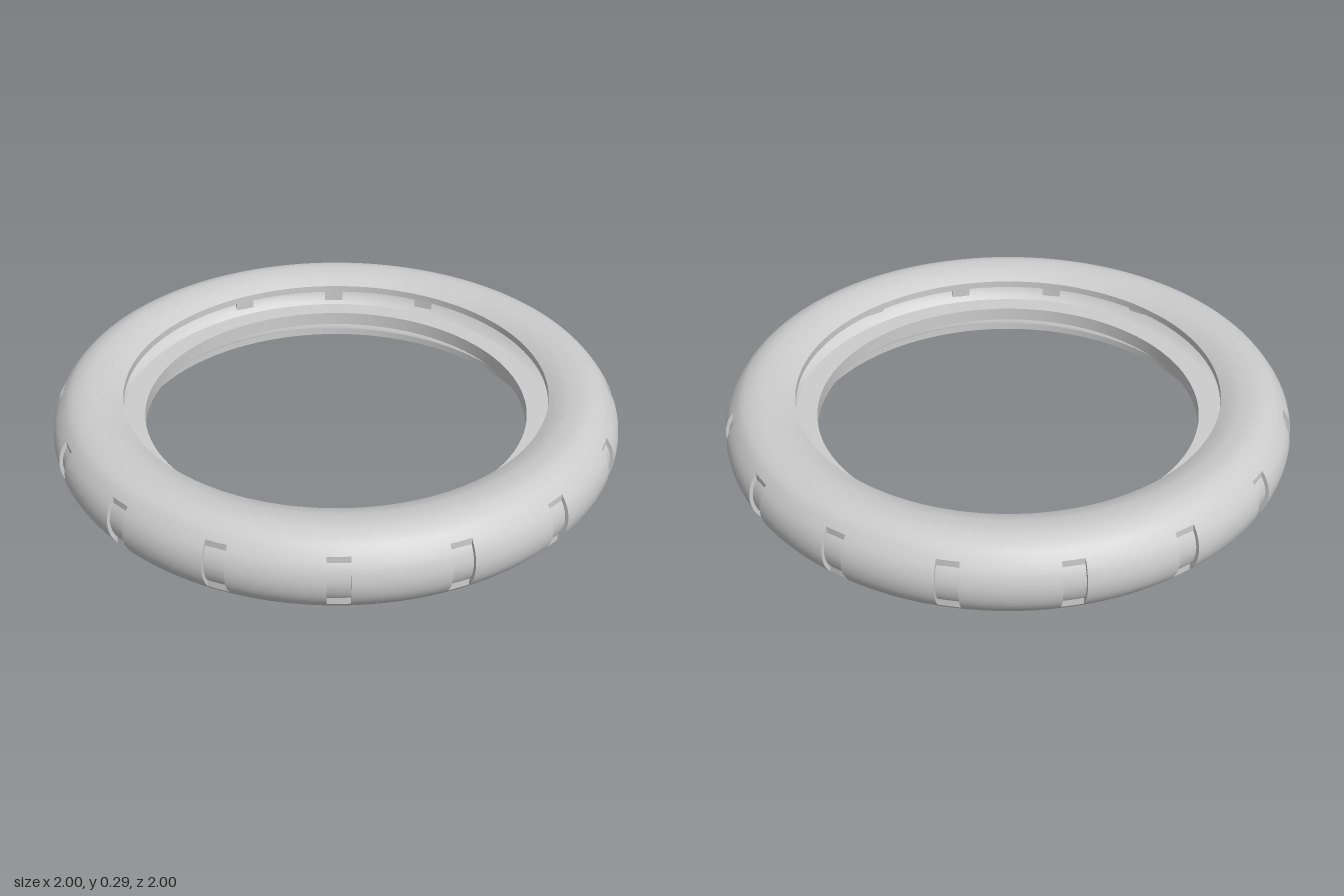
import * as THREE from 'three';

const COUNT = 16;          // notches around the tread
const FLOOR = 0.967;       // radius of the notch floor
const HALF = 0.038;        // half angle of one notch
const MID = 0.1425;        // height of the middle plane

const V = (r, d) => new THREE.Vector2(r, d);

// Mirrors an upper half profile (starting on the middle plane) to a full one, bottom to top.
function fullProfile(half, samples) {
  const up = half.map(([r, d]) => V(r, d));
  const down = up.slice(1).reverse().map((p) => V(p.x, -p.y));
  return new THREE.SplineCurve([...down, ...up]).getPoints(samples);
}

export function createModel() {
  const model = new THREE.Group();
  const grey = new THREE.MeshStandardMaterial({ color: 0xcccccc, side: THREE.DoubleSide });
  grey.name = 'light grey';

  const add = (parent, name, geometry) => {
    const mesh = new THREE.Mesh(geometry, grey);
    mesh.name = name;
    parent.add(mesh);
    return mesh;
  };
  const part = (name) => {
    const group = new THREE.Group();
    group.name = name;
    group.position.y = MID;
    model.add(group);
    return group;
  };

  // Rounded outer skin and the hollow inside of the shell
  const outer = fullProfile([[1, 0], [0.991, 0.05], [0.966, 0.092], [0.932, 0.125],
    [0.88, 0.1425], [0.82, 0.138], [0.78, 0.125], [0.75, 0.11]], 56);
  const inner = fullProfile([[0.988, 0], [0.979, 0.045], [0.957, 0.08], [0.925, 0.11],
    [0.88, 0.124], [0.82, 0.115], [0.78, 0.1], [0.75, 0.085]], 40).reverse();

  // Split the outer skin where it crosses the notch floor
  const first = outer.findIndex((p) => p.x > FLOOR);
  const a = outer[first - 1], b = outer[first];
  const cross = a.y + (b.y - a.y) * (FLOOR - a.x) / (b.x - a.x);
  const lower = [...outer.slice(0, first), V(FLOOR, cross)];
  const upper = lower.map((p) => V(p.x, -p.y)).reverse();
  const tread = [V(FLOOR, cross), ...outer.filter((p) => p.x > FLOOR), V(FLOOR, -cross)];

  const shell = part('ringShell');
  add(shell, 'lowerSidewall', new THREE.LatheGeometry(lower, 160));
  add(shell, 'upperSidewall', new THREE.LatheGeometry(upper, 160));
  add(shell, 'innerLining', new THREE.LatheGeometry(inner, 160));
  add(shell, 'upperBead', new THREE.LatheGeometry([V(0.75, 0.11), V(0.75, 0.085)], 160));
  add(shell, 'lowerBead', new THREE.LatheGeometry([V(0.75, -0.085), V(0.75, -0.11)], 160));

  // Tread blocks with notches between them
  const blocks = part('treadBlocks');
  const step = (Math.PI * 2) / COUNT;
  const cap = new THREE.ShapeGeometry(new THREE.Shape(tread));
  const block = new THREE.LatheGeometry(tread, 10, HALF, step - 2 * HALF);
  const floor = new THREE.LatheGeometry([V(FLOOR, cross), V(FLOOR, -cross)], 1, -HALF, 2 * HALF);
  for (let i = 0; i < COUNT; i++) {
    const angle = i * step;
    add(blocks, 'treadBlock', block).rotation.y = angle;
    add(blocks, 'notchFloor', floor).rotation.y = angle;
    for (const side of [-1, 1]) {
      add(blocks, 'notchWall', cap).rotation.y = angle + side * HALF - Math.PI / 2;
    }
  }

  // Flat ring in the middle of the opening, one band per face for crisp edges
  const flange = part('innerFlange');
  const corners = [V(0.68, -0.025), V(0.757, -0.025), V(0.757, 0.025), V(0.68, 0.025)];
  corners.forEach((p, i) => {
    add(flange, 'flangeFace', new THREE.LatheGeometry([p, corners[(i + 1) % 4]], 128));
  });

  return model;
}
